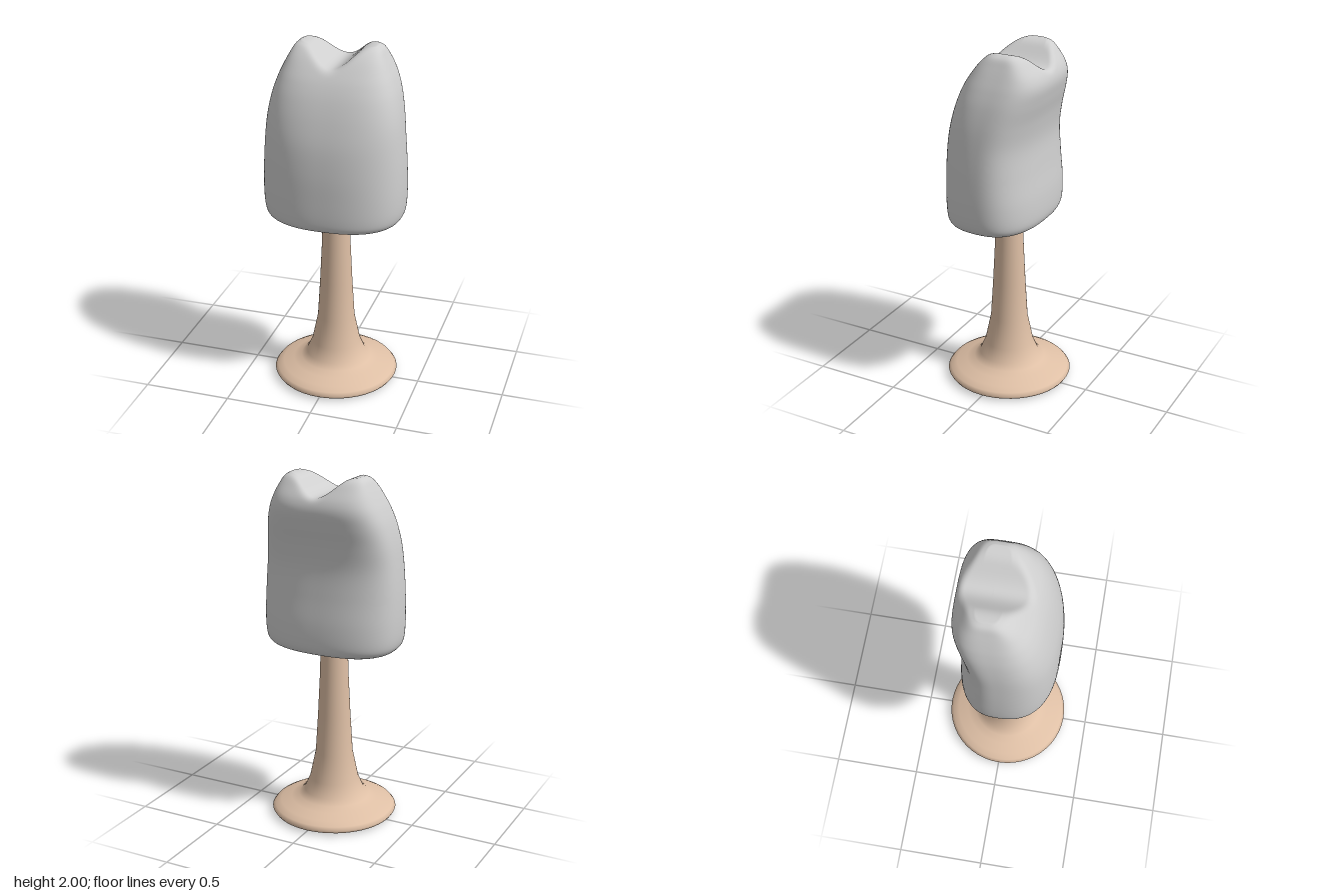
import * as THREE from 'three';

const grey = new THREE.MeshStandardMaterial({ color: 0xcfcfcf });
grey.name = 'pale grey';
const tan = new THREE.MeshStandardMaterial({ color: 0xdebfa5 });
tan.name = 'light tan';

// Body sections: height, half width, front z, back z, squareness
const SECTIONS = [
  [1.01, 0.29, 0.22, -0.175, 2.5],
  [1.018, 0.335, 0.262, -0.212, 2.5],
  [1.04, 0.375, 0.287, -0.234, 2.5],
  [1.09, 0.394, 0.296, -0.243, 2.5],
  [1.2, 0.4, 0.298, -0.24, 2.5],
  [1.35, 0.396, 0.295, -0.224, 2.5],
  [1.5, 0.385, 0.28, -0.214, 2.6],
  [1.63, 0.37, 0.25, -0.228, 2.8],
  [1.74, 0.347, 0.213, -0.252, 3],
  [1.82, 0.32, 0.175, -0.264, 3.2],
  [1.88, 0.293, 0.135, -0.25, 3.5],
  [1.94, 0.262, 0.085, -0.21, 4],
  [1.98, 0.238, 0.04, -0.178, 4],
  [2.0, 0.21, 0.0, -0.145, 4],
];

// Smooth minimum, which softens the rim of the valley
function softMin(a, b, k) {
  const h = Math.max(k - Math.abs(a - b), 0) / k;
  return Math.min(a, b) - h * h * k * 0.25;
}

// Height of the saddle-shaped top across x
function saddle(x) {
  const t = Math.min(Math.abs(x) / 0.22, 1);
  return 1.892 + 0.13 * (0.5 - 0.5 * Math.cos(Math.PI * t));
}

function bodyGeometry() {
  const sides = 120, rows = 84, capRings = 20;
  const outline = new THREE.CatmullRomCurve3(SECTIONS.map(s => new THREE.Vector3(s[0], s[1], s[2])), false, 'catmullrom', 0.5);
  const rear = new THREE.CatmullRomCurve3(SECTIONS.map(s => new THREE.Vector3(s[0], s[3], s[4])), false, 'catmullrom', 0.5);

  // Rings: floor from the centre outwards, wall upwards, then cap inwards
  const rings = [];
  for (let i = 0; i < 6; i++) rings.push([0, 0.001 + i / 6]);
  for (let i = 0; i <= rows; i++) rings.push([i / rows, 1]);
  for (let i = 1; i <= capRings; i++) rings.push([1, Math.max(1 - i / capRings, 0.001)]);

  const positions = [], index = [];
  for (const [t, scale] of rings) {
    const a = outline.getPoint(t), b = rear.getPoint(t);
    const zMid = THREE.MathUtils.lerp(0, -0.07, THREE.MathUtils.smoothstep(a.x, 1.5, 2));
    for (let j = 0; j < sides; j++) {
      const angle = (j / sides) * Math.PI * 2;
      const c = Math.cos(angle), s = Math.sin(angle);
      const r = scale * Math.pow(Math.abs(c) ** b.z + Math.abs(s) ** b.z, -1 / b.z);
      const x = a.y * r * c;
      const z = zMid + r * s * (s > 0 ? a.z - zMid : zMid - b.y);
      positions.push(x, softMin(a.x, saddle(x), 0.035), z);
    }
  }
  for (let i = 0; i < rings.length - 1; i++) {
    for (let j = 0; j < sides; j++) {
      const k = (j + 1) % sides;
      const p = i * sides + j, q = i * sides + k;
      index.push(p, p + sides, q, q, p + sides, q + sides);
    }
  }
  const geometry = new THREE.BufferGeometry();
  geometry.setAttribute('position', new THREE.Float32BufferAttribute(positions, 3));
  geometry.setIndex(index);
  geometry.computeVertexNormals();
  return geometry;
}

export function createModel() {
  const model = new THREE.Group();
  const add = (name, geometry, material) => {
    const mesh = new THREE.Mesh(geometry, material);
    mesh.name = name;
    model.add(mesh);
    return mesh;
  };

  add('twoCuspedBody', bodyGeometry(), grey);

  // Flared stem and foot in one turned profile
  const profile = [
    [0.325, 0], [0.35, 0.012], [0.36, 0.028], [0.345, 0.047], [0.31, 0.066],
    [0.25, 0.086], [0.205, 0.105], [0.172, 0.135], [0.14, 0.21], [0.107, 0.37],
    [0.093, 0.6], [0.081, 0.85], [0.076, 1.05],
  ].map(([r, y]) => new THREE.Vector2(r, y));
  add('stemAndFoot', new THREE.LatheGeometry(profile, 48), tan);

  // Flat underside of the foot
  add('footUnderside', new THREE.CircleGeometry(0.325, 48), tan).rotation.x = Math.PI / 2;

  return model;
}
